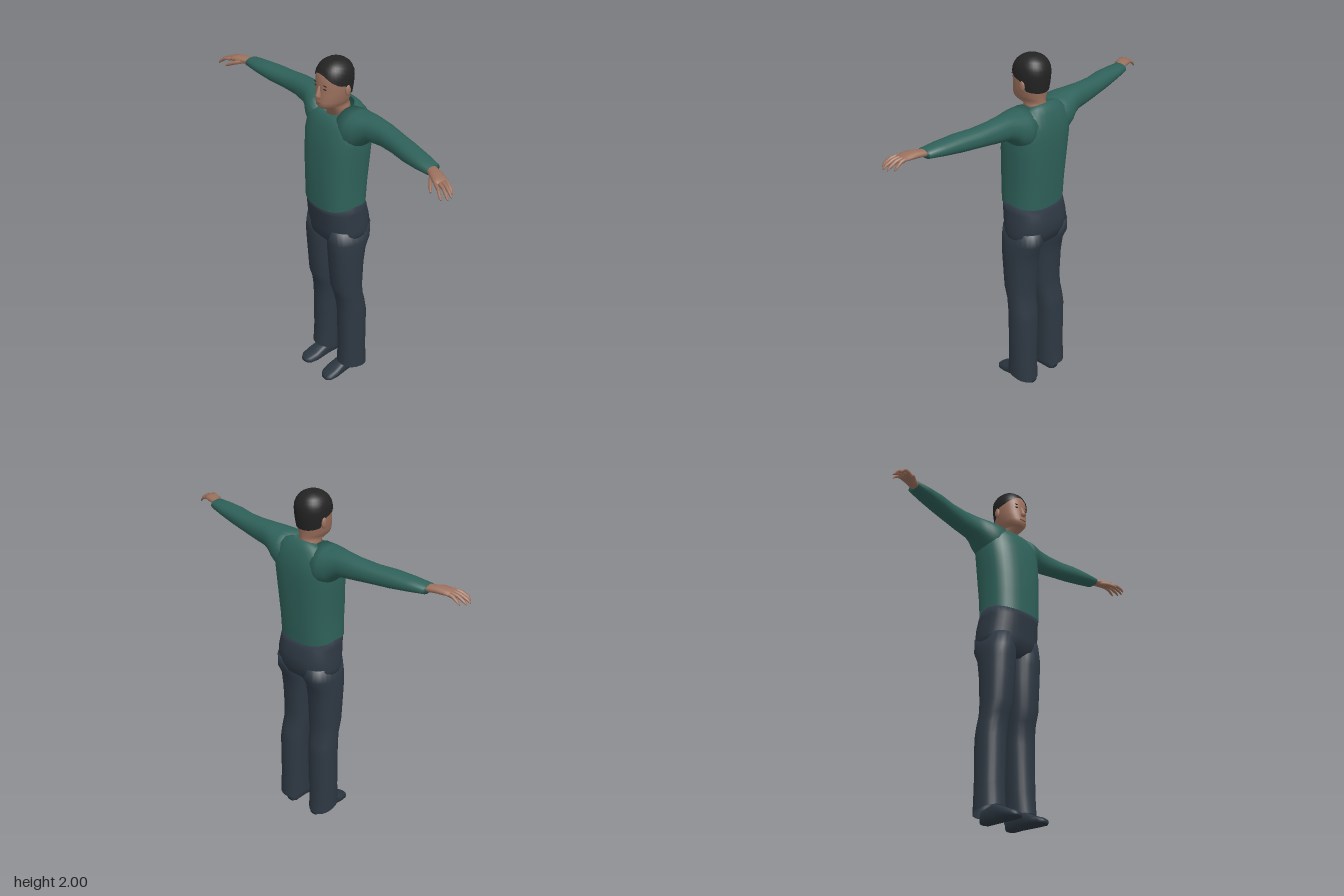
import * as THREE from 'three';

const mat = (name, color) => {
  const m = new THREE.MeshStandardMaterial({ color, side: THREE.DoubleSide });
  m.name = name;
  return m;
};

// Skin rings of points into a smooth surface; ends close with a fan when asked
function loft(rings, capStart = true, capEnd = true) {
  const n = rings[0].length, pos = rings.flat(2), idx = [];
  for (let i = 0; i < rings.length - 1; i++) {
    for (let j = 0; j < n; j++) {
      const a = i * n + j, b = i * n + (j + 1) % n;
      idx.push(a, b, a + n, b, b + n, a + n);
    }
  }
  const cap = (ring, base, flip) => {
    const c = [0, 1, 2].map(k => ring.reduce((s, p) => s + p[k], 0) / n);
    const ci = pos.length / 3;
    pos.push(...c);
    for (let j = 0; j < n; j++) {
      const a = base + j, b = base + (j + 1) % n;
      if (flip) idx.push(ci, b, a); else idx.push(ci, a, b);
    }
  };
  if (capStart) cap(rings[0], 0, true);
  if (capEnd) cap(rings[rings.length - 1], (rings.length - 1) * n, false);
  const g = new THREE.BufferGeometry();
  g.setAttribute('position', new THREE.Float32BufferAttribute(pos, 3));
  g.setIndex(idx);
  g.computeVertexNormals();
  return g;
}

// Rounded section on an axis (0 x, 1 y, 2 z): [t, u0, u1, v0, v1, tilt, sag]
function section(axis, [t, u0, u1, v0, v1, tilt = 0, sag = 0], n, p) {
  const pow = v => Math.sign(v) * Math.abs(v) ** (2 / p);
  return Array.from({ length: n }, (_, j) => {
    const a = j / n * Math.PI * 2, c = Math.cos(a), pt = [0, 0, 0];
    pt[axis] = t + tilt * c - sag * Math.abs(c);
    pt[(axis + 1) % 3] = (u0 + u1) / 2 + (u1 - u0) / 2 * pow(c);
    pt[(axis + 2) % 3] = (v0 + v1) / 2 + (v1 - v0) / 2 * pow(Math.sin(a));
    return pt;
  });
}
const shape = (axis, rows, n = 20, p = 2.2, c0 = true, c1 = true) =>
  loft(rows.map(r => section(axis, r, n, p)), c0, c1);

// Symmetric upright row: [y, halfWidth, zBack, zFront, tilt, sag]
const upright = ([y, w, zb, zf, tilt, sag]) => [y, zb, zf, -w, w, tilt, sag];

function mirrored(g) {
  const m = g.clone().scale(-1, 1, 1), ix = m.index.array;
  for (let i = 0; i < ix.length; i += 3) [ix[i], ix[i + 1]] = [ix[i + 1], ix[i]];
  m.computeVertexNormals();
  return m;
}

// Neck and head profile: [y, halfWidth, zBack, zFront]
const HEAD = [
  [1.68, 0.062, -0.085, 0.04], [1.745, 0.055, -0.076, 0.045], [1.752, 0.05, -0.075, 0.1],
  [1.768, 0.062, -0.074, 0.114], [1.79, 0.072, -0.076, 0.114], [1.83, 0.081, -0.082, 0.109],
  [1.865, 0.085, -0.087, 0.106], [1.9, 0.087, -0.09, 0.106], [1.935, 0.084, -0.088, 0.098],
  [1.965, 0.07, -0.073, 0.08], [1.983, 0.05, -0.05, 0.055], [1.993, 0.025, -0.025, 0.03],
];
// Interpolate rows by their first value
function sample(rows, t) {
  let i = 0;
  while (i < rows.length - 2 && rows[i + 1][0] < t) i++;
  const a = rows[i], b = rows[i + 1];
  const k = THREE.MathUtils.clamp((t - a[0]) / (b[0] - a[0]), 0, 1);
  return a.map((v, j) => v + (b[j] - v) * k);
}

// Hair shell follows the skull, with a hairline that drops towards the nape
function hairGeometry() {
  const line = [[-1, 1.812], [-0.3, 1.825], [-0.1, 1.875], [0.3, 1.885], [0.75, 1.912], [1, 1.94]];
  const n = 32, steps = 9, rings = [];
  for (let i = 0; i <= steps; i++) {
    const k = Math.sin(i / steps * Math.PI / 2);
    rings.push(Array.from({ length: n }, (_, j) => {
      const a = j / n * Math.PI * 2;
      const y0 = sample(line, Math.cos(a))[1], y = y0 + (1.993 - y0) * k;
      const [, w, zb, zf] = sample(HEAD, y);
      const p = section(1, [y, zb - 0.005, zf + 0.005, -w - 0.005, w + 0.005], n, 2.2)[j];
      p[1] += 0.005 * k;
      return p;
    }));
  }
  return loft(rings, false, true);
}

export function createModel() {
  const root = new THREE.Group();
  root.name = 'standingMan';
  const skin = mat('skin', 0x9c715e), shirt = mat('greenShirt', 0x2f615a);
  const cloth = mat('darkTrousers', 0x2e3843), shoe = mat('darkShoes', 0x2b3640);
  const hair = mat('blackHair', 0x232324), dark = mat('eyeBrown', 0x3f2c26);
  const lip = mat('lips', 0x82594c);

  const add = (name, g, m) => {
    const mesh = new THREE.Mesh(g, m);
    mesh.name = name;
    root.add(mesh);
  };
  const pair = (name, g, m) => {
    add('left' + name, g, m);
    add('right' + name, mirrored(g), m);
  };
  const blob = (sx, sy, sz, x, y, z) =>
    new THREE.SphereGeometry(1, 12, 8).scale(sx, sy, sz).translate(x, y, z);

  // Head, hair and face
  add('head', shape(1, HEAD.map(upright), 32), skin);
  add('hair', hairGeometry(), hair);
  add('nose', shape(1, [
    [1.812, 0.095, 0.118, -0.012, 0.012], [1.818, 0.09, 0.132, -0.016, 0.016],
    [1.83, 0.09, 0.128, -0.012, 0.012], [1.875, 0.09, 0.109, -0.007, 0.007],
  ], 10), skin);
  pair('Ear', blob(0.01, 0.03, 0.017, 0.088, 1.85, -0.008), skin);
  pair('Eye', blob(0.014, 0.005, 0.004, 0.034, 1.866, 0.0985), dark);
  pair('Eyebrow', blob(0.018, 0.003, 0.004, 0.035, 1.885, 0.0985), dark);
  add('mouth', blob(0.024, 0.005, 0.005, 0, 1.787, 0.112), lip);

  // Shirt body with a scooped collar
  add('shirtBody', shape(1, [
    [1.2, 0.173, -0.134, 0.139, 0, 0.025], [1.3, 0.173, -0.143, 0.141], [1.4, 0.18, -0.15, 0.139],
    [1.5, 0.187, -0.156, 0.132], [1.58, 0.194, -0.159, 0.122], [1.65, 0.188, -0.157, 0.105],
    [1.7, 0.165, -0.138, 0.09, -0.02], [1.726, 0.13, -0.116, 0.076, -0.025],
    [1.738, 0.088, -0.1, 0.062, -0.028], [1.728, 0.076, -0.092, 0.052, -0.028],
  ].map(upright), 32, 2.5, false, false), shirt);

  // Sleeves: [x, yBottom, yTop, zBack, zFront]
  pair('Sleeve', shape(0, [
    [0.08, 1.53, 1.75, -0.14, 0.08], [0.15, 1.545, 1.752, -0.137, 0.075],
    [0.19, 1.57, 1.755, -0.127, 0.058], [0.22, 1.603, 1.757, -0.117, 0.04],
    [0.26, 1.624, 1.758, -0.108, 0.024], [0.35, 1.637, 1.754, -0.1, 0.015],
    [0.45, 1.648, 1.747, -0.086, 0.025], [0.55, 1.655, 1.747, -0.07, 0.043],
    [0.65, 1.668, 1.74, -0.052, 0.053], [0.74, 1.682, 1.732, -0.032, 0.055],
  ], 24), shirt);

  // Hands
  pair('Palm', shape(0, [
    [0.71, 1.69, 1.724, -0.012, 0.04], [0.75, 1.692, 1.727, -0.008, 0.052],
    [0.79, 1.693, 1.73, 0.002, 0.076], [0.825, 1.692, 1.725, 0.012, 0.09],
    [0.85, 1.695, 1.718, 0.02, 0.094],
  ], 14), skin);
  const finger = (pts, r) => shape(0, pts.map(([x, y, z], i) => {
    const s = r * [1, 0.95, 0.8, 0.4][i];
    return [x, y - s, y + s, z - s, z + s];
  }), 8, 2);
  [0.905, 0.927, 0.93, 0.912].forEach((tip, i) => {
    const z0 = 0.029 + 0.019 * i, z1 = 0.04 + 0.026 * i, len = tip - 0.835;
    pair('Finger' + (i + 1), finger([
      [0.835, 1.708, z0], [0.835 + len * 0.5, 1.7, (z0 + z1) / 2],
      [0.835 + len * 0.85, 1.68, z1 - 0.002], [tip, 1.667, z1],
    ], 0.0105), skin);
  });
  pair('Thumb', finger([
    [0.765, 1.706, 0.045], [0.8, 1.697, 0.082], [0.828, 1.684, 0.106], [0.843, 1.674, 0.118],
  ], 0.013), skin);

  // Trousers: hips, then flared legs listed from hem to top
  add('trouserHips', shape(1, [
    [0.93, 0.1, -0.09, 0.07], [0.97, 0.182, -0.136, 0.113], [1.03, 0.185, -0.157, 0.118],
    [1.09, 0.18, -0.158, 0.127], [1.15, 0.174, -0.145, 0.134], [1.2, 0.171, -0.133, 0.137, 0, 0.024],
  ].map(upright), 32, 2.4), cloth);
  pair('TrouserLeg', shape(1, [
    [0.062, -0.115, 0.06, 0.04, 0.19, 0.02], [0.2, -0.108, 0.052, 0.037, 0.189],
    [0.45, -0.11, 0.053, 0.03, 0.189], [0.52, -0.1, 0.058, 0.024, 0.186],
    [0.58, -0.087, 0.068, 0.018, 0.182], [0.65, -0.085, 0.09, 0.01, 0.183],
    [0.8, -0.092, 0.1, 0.003, 0.187], [0.9, -0.106, 0.107, 0, 0.19],
    [0.96, -0.138, 0.112, 0, 0.188], [1.04, -0.145, 0.105, 0.01, 0.178],
  ], 24, 2.3, false, true), cloth);

  // Shoes, heel to toe: [z, xInner, xOuter, yBottom, yTop]
  pair('Shoe', shape(2, [
    [-0.095, 0.07, 0.118, 0.006, 0.05], [-0.075, 0.054, 0.133, 0, 0.08],
    [0, 0.052, 0.132, 0, 0.1], [0.05, 0.047, 0.14, 0, 0.082], [0.1, 0.044, 0.146, 0, 0.058],
    [0.145, 0.054, 0.14, 0, 0.042], [0.165, 0.075, 0.122, 0.006, 0.028],
  ], 16, 2.8), shoe);

  return root;
}
